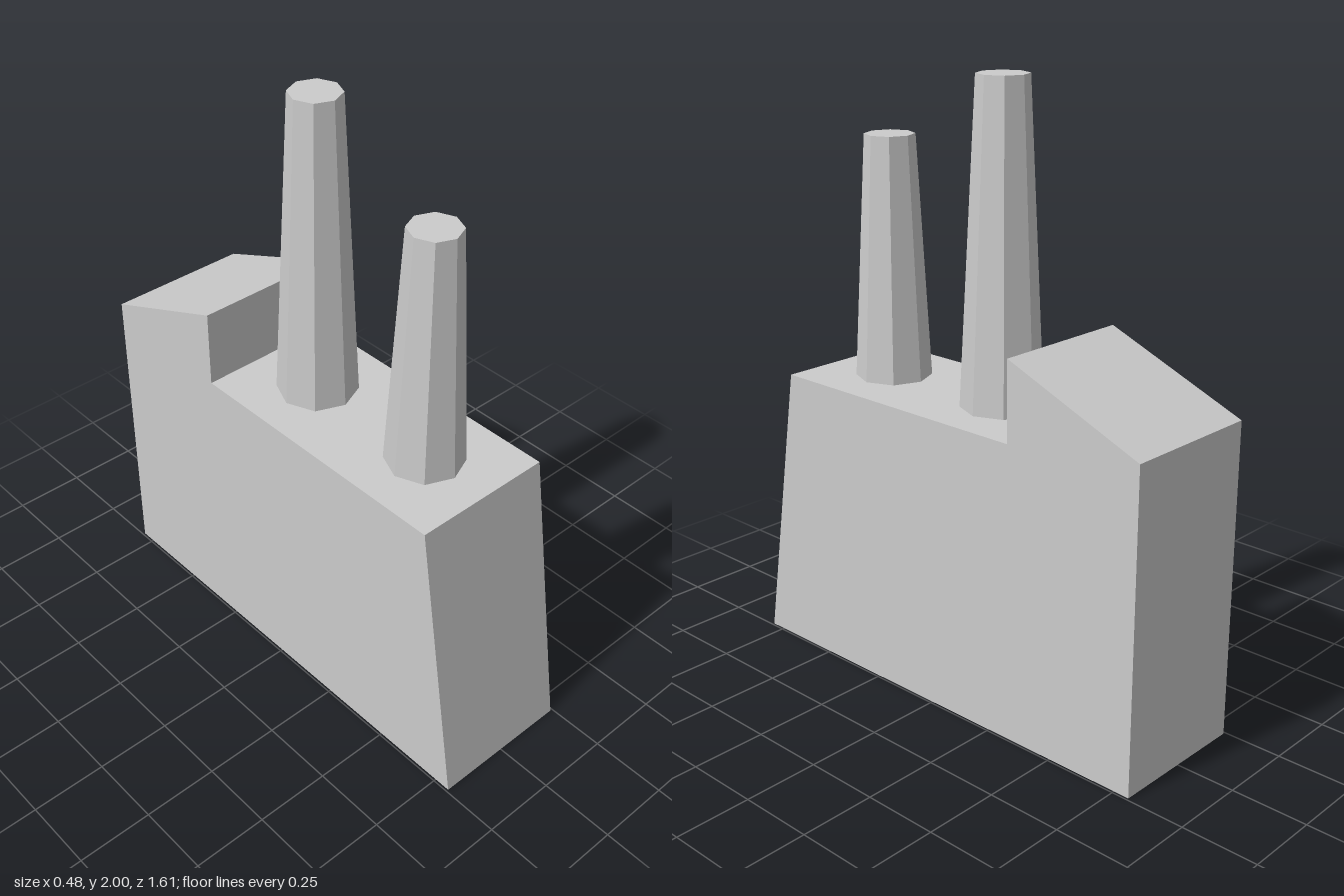
import * as THREE from 'three';

const material = new THREE.MeshStandardMaterial({ color: 0xcccccc, flatShading: true });

function addMesh(group, name, geometry) {
  const mesh = new THREE.Mesh(geometry, material);
  mesh.name = name;
  group.add(mesh);
  return mesh;
}

export function createModel() {
  const model = new THREE.Group();
  model.name = 'factory';

  // Building: side profile (z, y) with sloped front and raised rear roof
  const width = 0.484, deckY = 0.975;
  const profile = new THREE.Shape([
    [0.805, 0], [0.65, deckY], [-0.32, deckY], [-0.32, 1.235], [-0.803, 1.04], [-0.803, 0],
  ].map(([z, y]) => new THREE.Vector2(z, y)));
  const body = new THREE.ExtrudeGeometry(profile, { depth: width, bevelEnabled: false });
  body.translate(0, 0, -width / 2).rotateY(-Math.PI / 2);
  addMesh(model, 'building', body);

  // Tapered eight-sided chimneys standing on the flat roof
  const chimneys = [
    { name: 'frontChimney', z: 0.406, bottom: 0.126, top: 0.082, topY: 1.775 },
    { name: 'rearChimney', z: -0.079, bottom: 0.132, top: 0.082, topY: 2 },
  ];
  for (const { name, z, bottom, top, topY } of chimneys) {
    const height = topY - deckY;
    const chimney = addMesh(model, name, new THREE.CylinderGeometry(top, bottom, height, 8));
    chimney.position.set(0, deckY + height / 2, z);
  }

  return model;
}
